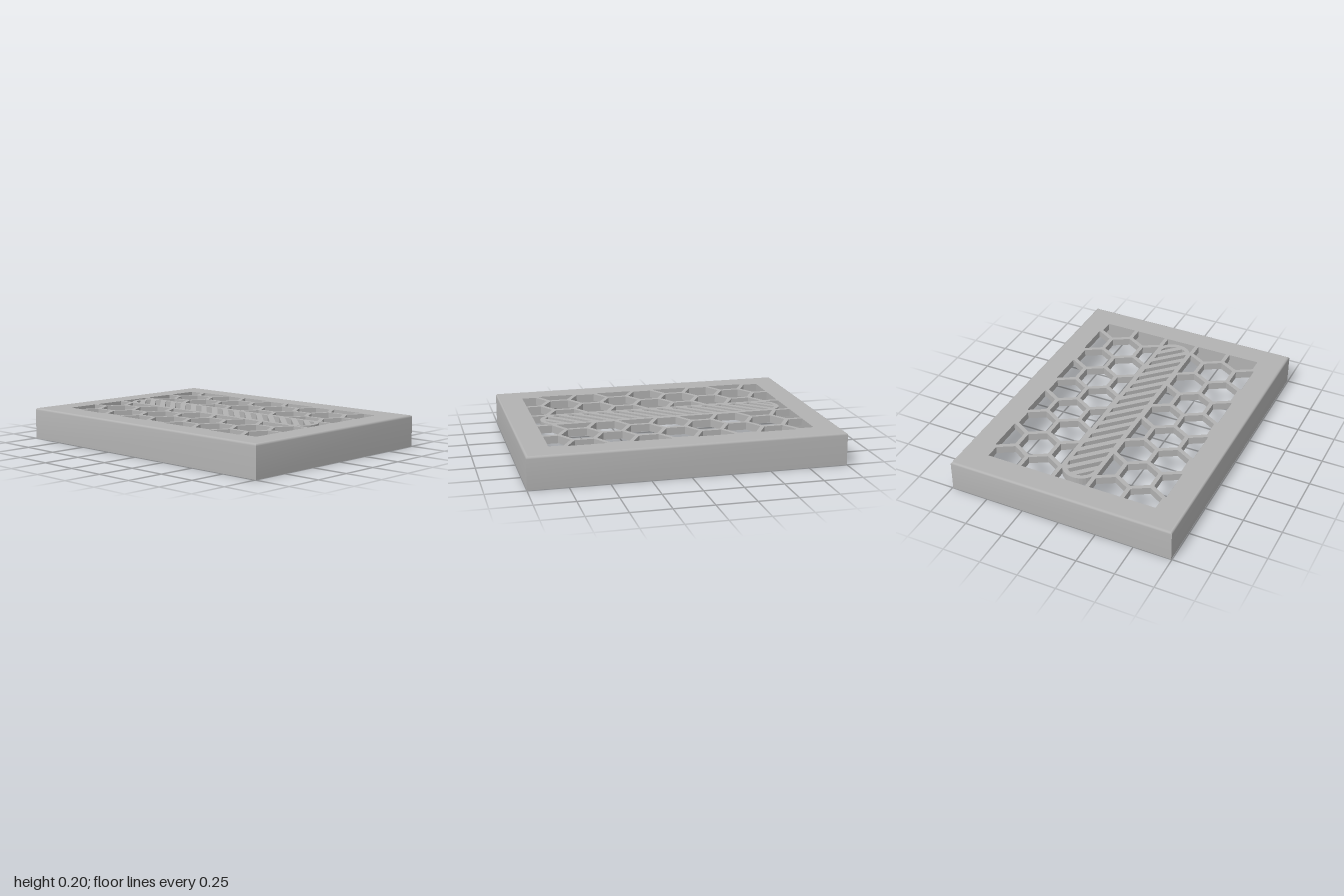
import * as THREE from 'three';
import { toCreasedNormals } from 'three/addons/utils/BufferGeometryUtils.js';

const HX = 0.745, HZ = 1, TOP = 0.205, PLATE = 0.048, WALL = 0.028, BEVEL = 0.014;
const PITCH = 0.233, ROW = PITCH * Math.sqrt(3) / 2, HEX_R = 0.119;
const WIN_X = 0.587, WIN_Z = 0.84;          // honeycomb window
const CAP_R = 0.122, CAP_IN = 0.092, CAP_Z = 0.68; // central capsule

const box = (x0, x1, y0, y1) => [[x0, y0], [x1, y0], [x1, y1], [x0, y1]];

const hexagon = (cx, cy) => Array.from({ length: 6 }, (_, i) => {
  const a = Math.PI / 6 + i * Math.PI / 3;
  return [cx + HEX_R * Math.cos(a), cy + HEX_R * Math.sin(a)];
});

// Counter-clockwise stadium outline along the plate's length
function stadium(r, n = 12) {
  const pts = [];
  for (const s of [1, -1])
    for (let i = 0; i <= n; i++) {
      const a = i * Math.PI / n;
      pts.push([s * r * Math.cos(a), s * (CAP_Z + r * Math.sin(a))]);
    }
  return pts;
}

// Clip a polygon by a convex counter-clockwise polygon
function clip(poly, region) {
  let out = poly;
  region.forEach((a, i) => {
    const b = region[(i + 1) % region.length];
    const side = p => (b[0] - a[0]) * (p[1] - a[1]) - (b[1] - a[1]) * (p[0] - a[0]);
    const next = [];
    out.forEach((p, j) => {
      const q = out[(j + 1) % out.length], sp = side(p), sq = side(q);
      if (sp >= 0) next.push(p);
      if (sp * sq < 0) {
        const t = sp / (sp - sq);
        next.push([p[0] + t * (q[0] - p[0]), p[1] + t * (q[1] - p[1])]);
      }
    });
    out = next;
  });
  return out;
}

function grilleHoles() {
  const holes = [];
  // Honeycomb cells on both sides of the capsule
  for (const region of [box(CAP_R, WIN_X, -WIN_Z, WIN_Z), box(-WIN_X, -CAP_R, -WIN_Z, WIN_Z)])
    for (let row = -4; row <= 4; row++)
      for (let col = -3; col <= 3; col++) {
        const cx = (col + (row % 2 ? 0.5 : 0)) * PITCH;
        if (Math.abs(cx) > 0.6 || cx === 0) continue;
        holes.push(clip(hexagon(cx, row * ROW), region));
      }
  // Openings beyond the rounded ends of the capsule
  for (const s of [1, -1]) {
    const w = 0.103, a0 = Math.acos(w / CAP_R), pts = [[-w, s * WIN_Z], [w, s * WIN_Z]];
    for (let i = 0; i <= 12; i++) {
      const a = a0 + (Math.PI - 2 * a0) * i / 12;
      pts.push([CAP_R * Math.cos(a), s * (CAP_Z + CAP_R * Math.sin(a))]);
    }
    holes.push(pts);
  }
  // Diagonal slots between the slats of the capsule
  const inner = stadium(CAP_IN), step = 0.1, gap = 0.05, w = 0.2;
  for (let i = -10; i <= 10; i++) {
    const y = i * step;
    holes.push(clip([[-w, y - w - gap / 2], [w, y + w - gap / 2], [w, y + w + gap / 2], [-w, y - w + gap / 2]], inner));
  }
  return holes.filter(h => h.length > 2);
}

// Rectangular loops joined along a profile of [inset, height]
function rimGeometry(profile) {
  const corners = [[1, 1], [1, -1], [-1, -1], [-1, 1]], pos = [];
  const at = ([d, y], [sx, sz]) => [sx * (HX - d), y, sz * (HZ - d)];
  for (let i = 0; i < profile.length - 1; i++)
    corners.forEach((c, k) => {
      const n = corners[(k + 1) % 4];
      const a = at(profile[i], c), b = at(profile[i], n);
      const e = at(profile[i + 1], n), f = at(profile[i + 1], c);
      pos.push(...a, ...b, ...e, ...a, ...e, ...f);
    });
  const g = new THREE.BufferGeometry();
  g.setAttribute('position', new THREE.Float32BufferAttribute(pos, 3));
  return toCreasedNormals(g, 0.7);
}

export function createModel() {
  const model = new THREE.Group();
  const grey = new THREE.MeshStandardMaterial({ color: 0xb2b2b2 });
  grey.name = 'grey';
  const add = (name, geometry) => {
    const mesh = new THREE.Mesh(geometry, grey);
    mesh.name = name;
    model.add(mesh);
    return mesh;
  };

  // Side walls, open below, with a rounded top edge
  const profile = [[WALL, TOP - PLATE], [WALL, 0], [0, 0]];
  for (let i = 0; i <= 4; i++) {
    const a = i * Math.PI / 8;
    profile.push([BEVEL * (1 - Math.cos(a)), TOP - BEVEL * (1 - Math.sin(a))]);
  }
  add('walls', rimGeometry(profile));

  // Top plate pierced by the honeycomb and slats
  const vec = p => new THREE.Vector2(...p);
  const x = HX - BEVEL, z = HZ - BEVEL;
  const shape = new THREE.Shape(box(-x, x, -z, z).map(vec));
  shape.holes = grilleHoles().map(h => new THREE.Path(h.map(vec)));
  const plate = new THREE.ExtrudeGeometry(shape, { depth: PLATE, bevelEnabled: false });
  plate.rotateX(-Math.PI / 2);
  add('grillePlate', plate).position.y = TOP - PLATE;

  // Snap bumps inside the long walls
  for (const sx of [1, -1])
    for (const sz of [1, -1])
      add('snapBump', new THREE.SphereGeometry(0.02, 16, 10)).position.set(sx * (HX - WALL), 0.09, sz * 0.6);

  return model;
}
